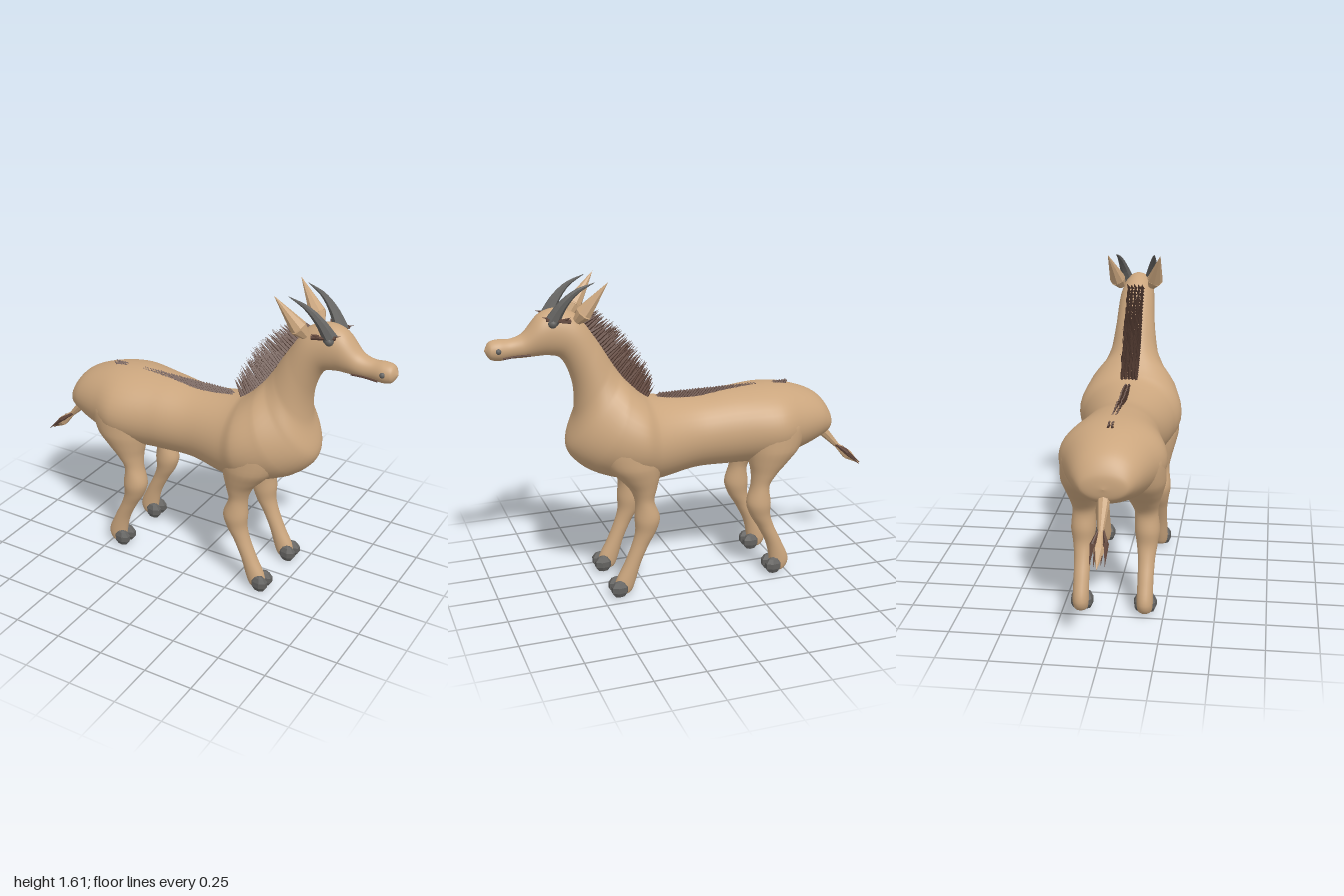
import * as THREE from 'three';
import { mergeGeometries } from 'three/addons/utils/BufferGeometryUtils.js';

const V = (x, y, z) => new THREE.Vector3(x, y, z);
const material = (name, color) => {
  const m = new THREE.MeshStandardMaterial({ color });
  m.name = name;
  return m;
};

// Smooth skin through oval sections: [x, y of one edge, x, y of the opposite edge, half width, z]
function loft(stations, steps, sides) {
  const edge = (k) => new THREE.CatmullRomCurve3(stations.map((s) => V(s[k], s[k + 1], s[5] || 0)));
  const a = edge(0), b = edge(2);
  const w = new THREE.CatmullRomCurve3(stations.map((s) => V(s[4], 0, 0)));
  const pos = [], index = [];
  for (let i = 0; i <= steps; i++) {
    const t = i / steps, A = a.getPoint(t), B = b.getPoint(t);
    const half = Math.max(w.getPoint(t).x, 0.001);
    const mid = A.clone().add(B).multiplyScalar(0.5), arm = A.clone().sub(mid);
    for (let j = 0; j < sides; j++) {
      const q = (j / sides) * Math.PI * 2;
      pos.push(mid.x + arm.x * Math.cos(q), mid.y + arm.y * Math.cos(q), mid.z + half * Math.sin(q));
      if (i === steps) continue;
      const p = i * sides + j, n = i * sides + ((j + 1) % sides);
      index.push(p, n, p + sides, n, n + sides, p + sides);
    }
  }
  const g = new THREE.BufferGeometry();
  g.setAttribute('position', new THREE.Float32BufferAttribute(pos, 3));
  g.setIndex(index);
  g.computeVertexNormals();
  return g;
}

const faceted = (g) => {
  const f = g.toNonIndexed();
  f.computeVertexNormals();
  return f;
};

// Faceted tapered spike between two points
function spike(from, to, r, sides = 5, rTip = 0) {
  const dir = to.clone().sub(from);
  const g = new THREE.CylinderGeometry(rTip, r, dir.length(), sides);
  g.applyQuaternion(new THREE.Quaternion().setFromUnitVectors(V(0, 1, 0), dir.normalize()));
  const c = from.clone().add(to).multiplyScalar(0.5);
  g.translate(c.x, c.y, c.z);
  return faceted(g);
}

// Curved tapering horn
function taperedTube(points, r) {
  const curve = new THREE.CatmullRomCurve3(points), n = 10, sides = 7;
  const g = new THREE.TubeGeometry(curve, n, r, sides, false);
  const p = g.attributes.position;
  for (let i = 0; i < p.count; i++) {
    const t = Math.floor(i / (sides + 1)) / n, c = curve.getPointAt(t);
    const v = V().fromBufferAttribute(p, i).sub(c).multiplyScalar(1 - 0.97 * t).add(c);
    p.setXYZ(i, v.x, v.y, v.z);
  }
  return faceted(g);
}

let seed = 7;
const jitter = () => {
  seed = (seed * 16807) % 2147483647;
  return seed / 2147483647 - 0.5;
};

export function createModel() {
  const root = new THREE.Group();
  root.name = 'hornedGrazer';
  const hide = material('tan hide', 0xcba67e);
  const hair = material('dark brown hair', 0x60453a);
  const horn = material('grey horn', 0x636260);
  const add = (name, geometry, mat) => {
    const m = new THREE.Mesh(geometry, mat);
    m.name = name;
    root.add(m);
    return m;
  };

  // Rump, barrel, chest, neck and head in one skin
  add('body', loft([
    [-0.778, 0.776, -0.778, 0.774, 0.001], [-0.768, 0.845, -0.76, 0.715, 0.11],
    [-0.71, 0.92, -0.69, 0.675, 0.16], [-0.57, 0.98, -0.56, 0.63, 0.215],
    [-0.43, 1.0, -0.43, 0.605, 0.26], [-0.22, 0.99, -0.22, 0.6, 0.215],
    [-0.03, 0.971, -0.03, 0.6, 0.192], [0.2, 1.0, 0.2, 0.567, 0.24],
    [0.25, 1.03, 0.33, 0.585, 0.27], [0.31, 1.09, 0.53, 0.66, 0.235],
    [0.35, 1.14, 0.622, 0.77, 0.17], [0.39, 1.2, 0.576, 0.95, 0.125],
    [0.46, 1.32, 0.583, 1.11, 0.103], [0.545, 1.435, 0.642, 1.235, 0.092],
    [0.65, 1.477, 0.705, 1.252, 0.083], [0.73, 1.457, 0.75, 1.252, 0.075],
    [0.82, 1.364, 0.82, 1.25, 0.055], [0.88, 1.345, 0.88, 1.25, 0.046],
    [0.935, 1.347, 0.935, 1.245, 0.051], [0.975, 1.338, 0.975, 1.255, 0.043],
    [1.0, 1.298, 1.0, 1.296, 0.001],
  ], 160, 40), hide);

  // Leg rings: height, hind x, fore x, half length, half width
  const rings = [
    [0.93, -0.44, 0.33, 0.11, 0.05], [0.82, -0.44, 0.33, 0.16, 0.125],
    [0.7, -0.425, 0.32, 0.14, 0.118], [0.63, -0.4, 0.295, 0.105, 0.096],
    [0.57, -0.375, 0.276, 0.07, 0.074], [0.5, -0.35, 0.271, 0.048, 0.057],
    [0.41, -0.342, 0.259, 0.064, 0.062], [0.34, -0.352, 0.268, 0.053, 0.052],
    [0.27, -0.384, 0.297, 0.043, 0.042], [0.17, -0.432, 0.34, 0.042, 0.039],
    [0.07, -0.462, 0.38, 0.051, 0.04], [0.025, -0.455, 0.39, 0.04, 0.034],
    [0.006, -0.445, 0.4, 0.002, 0.002],
  ];
  for (const s of [1, -1]) {
    const side = s > 0 ? 'PlusZ' : 'MinusZ';
    for (const [name, column, toeX] of [['hindLeg', 1, -0.422], ['foreLeg', 2, 0.415]]) {
      add(name + side, loft(rings.map((r) => {
        const z = 0.158 - Math.max(0, r[0] - 0.45) * 0.085;
        return [r[column] + r[3], r[0], r[column] - r[3], r[0], r[4], z * s];
      }), 60, 24), hide);
      // Cloven hoof: two faceted toes
      add(name + side + 'Hoof', mergeGeometries([0.128, 0.186].map((z) => {
        const g = new THREE.SphereGeometry(1, 7, 5);
        g.scale(0.048, 0.046, 0.029);
        g.translate(toeX, 0.05, z * s);
        return faceted(g);
      })), horn);
    }

    // Horn, ear, eye, brow, nostril and lip line
    add('horn' + side, taperedTube([
      V(0.685, 1.425, 0.06 * s), V(0.635, 1.505, 0.076 * s), V(0.57, 1.567, 0.09 * s), V(0.485, 1.606, 0.1 * s),
    ], 0.036), horn);
    add('ear' + side, mergeGeometries([
      spike(V(0.54, 1.465, 0.1 * s), V(0.43, 1.612, 0.138 * s), 0.042, 8),
      spike(V(0.57, 1.425, 0.08 * s), V(0.54, 1.465, 0.1 * s), 0.022, 8, 0.042),
    ]), hide);
    add('eye' + side, new THREE.SphereGeometry(0.022, 12, 8), horn).position.set(0.685, 1.42, 0.077 * s);
    add('brow' + side, mergeGeometries([
      spike(V(0.6, 1.425, 0.088 * s), V(0.715, 1.44, 0.077 * s), 0.011, 5, 0.008),
      spike(V(0.63, 1.43, 0.08 * s), V(0.605, 1.45, 0.105 * s), 0.012),
      spike(V(0.67, 1.435, 0.075 * s), V(0.74, 1.455, 0.07 * s), 0.01),
    ]), hair);
    add('nostril' + side, new THREE.SphereGeometry(0.014, 10, 8), horn).position.set(0.94, 1.3, 0.046 * s);
    add('lip' + side, new THREE.TubeGeometry(new THREE.CatmullRomCurve3([
      V(0.79, 1.27, 0.05 * s), V(0.86, 1.268, 0.044 * s), V(0.92, 1.262, 0.043 * s),
    ]), 8, 0.005, 5), hair);
  }

  // Upright neck mane, rows of bristles
  const crest = new THREE.CatmullRomCurve3([
    V(0.22, 1.0, 0), V(0.31, 1.08, 0), V(0.38, 1.175, 0), V(0.45, 1.29, 0), V(0.535, 1.415, 0),
  ]);
  const mane = [];
  for (let row = -2; row <= 2; row++) {
    for (let i = 0; i < 34; i++) {
      const t = i / 33, p = crest.getPoint(t);
      p.z = row * 0.018;
      const len = 0.085 + 0.055 * Math.sin(Math.PI * Math.pow(t, 0.8)) + 0.03 * jitter();
      const ang = 2.15 + 0.5 * t + 0.2 * jitter();
      const tip = V(p.x + len * Math.cos(ang), p.y + len * Math.sin(ang), p.z + 0.012 * jitter());
      mane.push(spike(p, tip, 0.01, 4));
    }
  }
  add('mane', mergeGeometries(mane), hair);

  // Low bristles along the spine, broken at the hip
  const ridge = [];
  for (let i = 0; i < 44; i++) {
    const x = 0.18 - i * 0.0158;
    if (x < -0.34 && x > -0.43) continue;
    for (const z of [-0.009, 0.009]) {
      ridge.push(spike(V(x, 0.955, z), V(x - 0.05, 1.002, z + 0.006 * jitter()), 0.014, 4, 0.004));
    }
  }
  add('spineBristles', mergeGeometries(ridge), hair);

  // Tail with a tuft at the end
  add('tail', mergeGeometries([
    spike(V(-0.72, 0.75, 0), V(-0.865, 0.595, 0), 0.034, 8, 0.012),
    spike(V(-0.85, 0.61, 0), V(-0.92, 0.545, 0), 0.012, 6, 0.028),
    spike(V(-0.92, 0.545, 0), V(-0.997, 0.483, 0), 0.028, 6),
  ]), hide);
  add('tailTuft', mergeGeometries([-0.032, -0.014, 0.014, 0.032].flatMap((z, i) => {
    const mid = V(-0.905, 0.562 + 0.01 * (i % 2), z);
    return [spike(V(-0.845, 0.612, z * 0.3), mid, 0.006, 5, 0.012),
      spike(mid, V(-0.98 - 0.015 * (i % 2), 0.49, z * 1.1), 0.012)];
  })), hair);

  return root;
}
